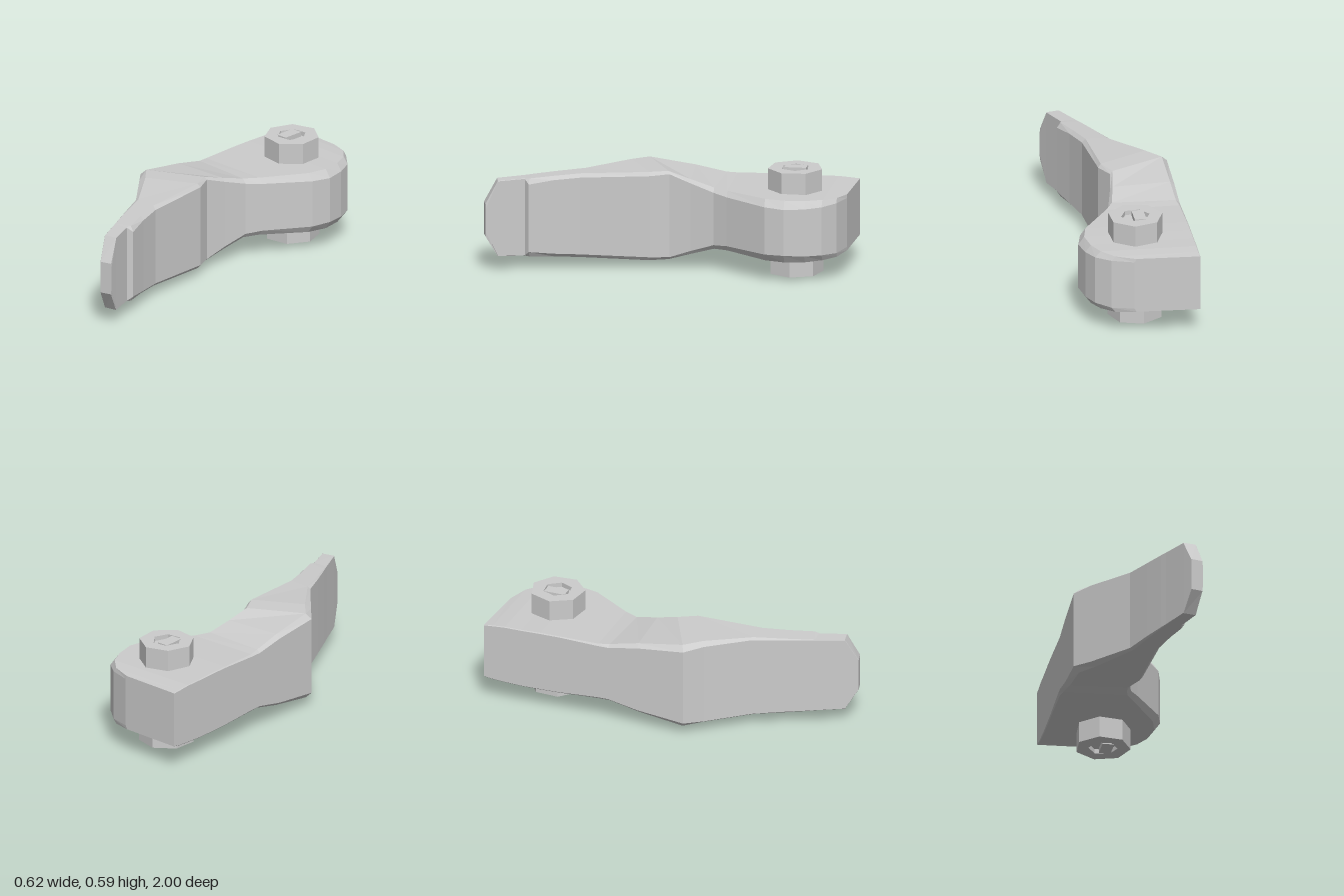
import * as THREE from 'three';

const material = new THREE.MeshStandardMaterial({ color: 0xcccccc, flatShading: true });
const BOLT_Z = -0.69;

// Bevelled eight-point section between a left point and a right point.
// Station: [leftX, leftZ, rightX, rightZ, bottom, top, leftBevelX, leftBevelY, rightBevelX, rightBevelY]
function section([lx, lz, rx, rz, yb, yt, blx, bly, brx, bry]) {
  const width = rx - lx;
  const at = (x, y) => [x, y, lz + (rz - lz) * (x - lx) / width];
  return [
    at(lx + blx, yb), at(rx - brx, yb), at(rx, yb + bry), at(rx, yt - bry),
    at(rx - brx, yt), at(lx + blx, yt), at(lx, yt - bly), at(lx, yb + bly),
  ];
}

// Skins a row of sections and closes both ends
function loft(name, stations) {
  const rings = stations.map(section);
  const pos = [];
  const tri = (a, b, c) => pos.push(...a, ...b, ...c);
  for (let i = 0; i < rings.length - 1; i++) {
    for (let j = 0; j < 8; j++) {
      const k = (j + 1) % 8;
      const a = rings[i][j], b = rings[i][k], c = rings[i + 1][k], d = rings[i + 1][j];
      tri(a, b, c);
      tri(a, c, d);
    }
  }
  const first = rings[0], last = rings[rings.length - 1];
  for (let j = 1; j < 7; j++) {
    tri(first[0], first[j + 1], first[j]);
    tri(last[0], last[j], last[j + 1]);
  }
  const geo = new THREE.BufferGeometry();
  geo.setAttribute('position', new THREE.Float32BufferAttribute(pos, 3));
  geo.computeVertexNormals();
  const mesh = new THREE.Mesh(geo, material);
  mesh.name = name;
  return mesh;
}

function polygon(PathType, sides, radius, turn) {
  const pts = [];
  for (let i = 0; i < sides; i++) {
    const a = turn + (i / sides) * Math.PI * 2;
    pts.push(new THREE.Vector2(Math.cos(a) * radius, Math.sin(a) * radius));
  }
  return new PathType(pts);
}

// Seven-sided bolt head with a shallow socket and a square key, facing up
function boltHead(name) {
  const head = new THREE.Group();
  head.name = name;
  const add = (geo, part, x, y, z) => {
    const mesh = new THREE.Mesh(geo, material);
    mesh.name = part;
    mesh.position.set(x, y, z);
    head.add(mesh);
  };
  const shape = polygon(THREE.Shape, 7, 0.152, 0.52);
  shape.holes.push(polygon(THREE.Path, 6, 0.08, 0.1));
  const collar = new THREE.ExtrudeGeometry(shape, { depth: 0.15, bevelEnabled: false });
  collar.rotateX(-Math.PI / 2);
  add(collar, 'boltCollar', 0, 0, 0);
  add(new THREE.CylinderGeometry(0.09, 0.09, 0.12, 6), 'socketFloor', 0, 0.065, 0);
  add(new THREE.BoxGeometry(0.065, 0.05, 0.12), 'socketKey', -0.02, 0.127, 0);
  return head;
}

export function createModel() {
  const model = new THREE.Group();
  model.name = 'pivotLever';

  // Slanted seam shared by the arm and the blade
  const seam = [-0.31, 0.17, 0.03, 0, 0.045, 0.542, 0.03, 0.03, 0.015, 0.015];

  // Rounded pivot end narrowing into the thicker waist
  model.add(loft('pivotArm', [
    [-0.31, -1.00, 0.05, -0.98, 0.14, 0.455, 0.002, 0.002, 0.01, 0.02],
    [-0.31, -0.95, 0.17, -0.94, 0.13, 0.46, 0.004, 0.004, 0.02, 0.025],
    [-0.31, -0.88, 0.25, -0.87, 0.125, 0.465, 0.004, 0.004, 0.03, 0.035],
    [-0.31, -0.78, 0.29, -0.78, 0.12, 0.465, 0.004, 0.004, 0.03, 0.04],
    [-0.31, -0.67, 0.312, -0.67, 0.12, 0.468, 0.005, 0.005, 0.032, 0.045],
    [-0.31, -0.56, 0.285, -0.56, 0.122, 0.468, 0.005, 0.005, 0.03, 0.04],
    [-0.31, -0.33, 0.13, -0.33, 0.13, 0.465, 0.01, 0.01, 0.025, 0.03],
    [-0.31, -0.27, 0.08, -0.25, 0.125, 0.47, 0.02, 0.015, 0.02, 0.025],
    [-0.31, -0.10, 0.05, -0.12, 0.085, 0.505, 0.025, 0.02, 0.015, 0.02],
    seam,
  ]));

  // Blade sweeping forward to a chamfered tip, with a small notch on its side
  model.add(loft('blade', [
    seam,
    [-0.23, 0.26, 0.08, 0.10, 0.048, 0.545, 0.03, 0.02, 0.015, 0.02],
    [-0.05, 0.47, 0.11, 0.48, 0.058, 0.53, 0.02, 0.01, 0.02, 0.02],
    [0.018, 0.62, 0.155, 0.62, 0.068, 0.522, 0.01, 0.008, 0.02, 0.02],
    [0.075, 0.74, 0.205, 0.75, 0.075, 0.515, 0.004, 0.004, 0.02, 0.03],
    [0.095, 0.78, 0.18, 0.775, 0.078, 0.512, 0.002, 0.002, 0.002, 0.002],
    [0.165, 0.93, 0.237, 0.915, 0.083, 0.507, 0.002, 0.002, 0.002, 0.002],
    [0.198, 0.998, 0.264, 0.98, 0.20, 0.38, 0.002, 0.002, 0.002, 0.03],
  ]));

  // Bolt heads above and below the pivot
  const top = boltHead('topBoltHead');
  top.position.set(0, 0.435, BOLT_Z);
  const bottom = boltHead('bottomBoltHead');
  bottom.rotation.z = Math.PI;
  bottom.position.set(0, 0.152, BOLT_Z);
  model.add(top, bottom);

  return model;
}
